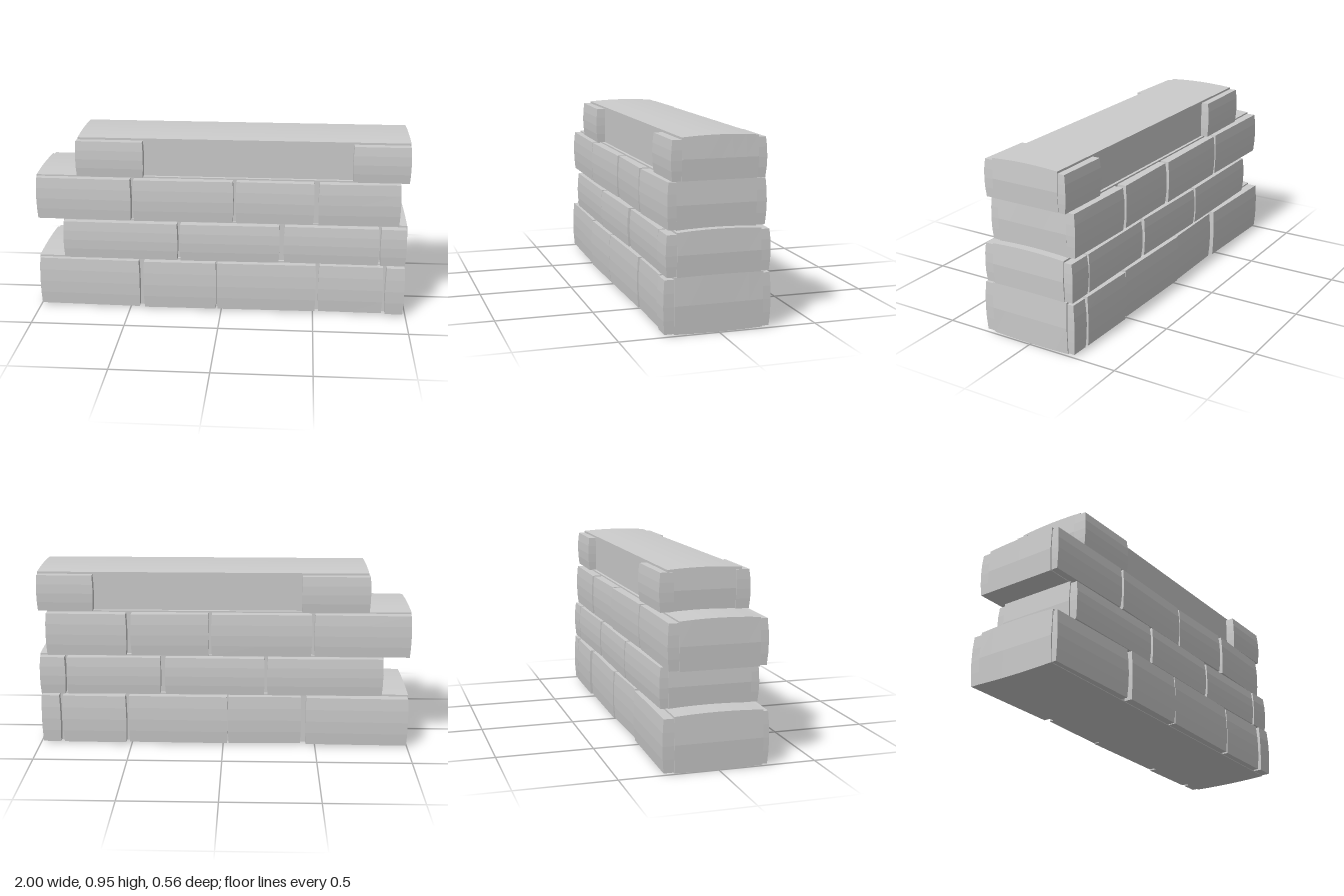
import * as THREE from 'three';

const stone = new THREE.MeshStandardMaterial({ color: 0xcccccc, flatShading: true });

// Each course: core extents, brick height range, and bricks as
// [x0, x1, front depth at x0, at x1, back depth at x0, at x1].
const courses = [
  { name: 'bottomCourse', x: [-1, 0.99], y: [0.005, 0.283], z: 0.225, brickY: [0.008, 0.274], bottomBulge: 0.005,
    bricks: [
      [-0.995, -0.45, 0.25, 0.263, 0.277, 0.266],
      [-0.42, -0.03, 0.27, 0.267, 0.255, 0.262],
      [-0.02, 0.51, 0.267, 0.262, 0.267, 0.26],
      [0.53, 0.87, 0.258, 0.263, 0.27, 0.264],
      [0.89, 0.985, 0.272, 0.272, 0.262, 0.26]] },
  { name: 'secondCourse', x: [-0.86, 0.99], y: [0.28, 0.498], z: 0.212, brickY: [0.284, 0.489], bottomBulge: 0,
    bricks: [
      [-0.855, -0.24, 0.25, 0.257, 0.25, 0.255],
      [-0.22, 0.31, 0.26, 0.255, 0.255, 0.25],
      [0.34, 0.84, 0.25, 0.257, 0.25, 0.255],
      [0.855, 0.985, 0.26, 0.26, 0.255, 0.255]] },
  { name: 'thirdCourse', x: [-1, 0.945], y: [0.498, 0.738], z: 0.202, brickY: [0.502, 0.73], bottomBulge: 0,
    bricks: [
      [-0.995, -0.49, 0.238, 0.248, 0.252, 0.245],
      [-0.47, 0.06, 0.25, 0.244, 0.245, 0.25],
      [0.08, 0.49, 0.24, 0.248, 0.243, 0.25],
      [0.52, 0.945, 0.25, 0.24, 0.252, 0.247]] },
  { name: 'topCourse', x: [-0.77, 0.99], y: [0.74, 0.945], z: 0.19, brickY: [0.74, 0.934], bottomBulge: 0,
    bricks: [
      [-0.775, -0.42, 0.228, 0.235, 0.227, 0.23],
      [0.695, 0.988, 0.235, 0.236, 0.23, 0.227]] },
];

// Core block with a crowned top, optional crowned underside and bulging ends
function makeCore({ x, y, z, bottomBulge }) {
  const geo = new THREE.BoxGeometry(2, 2, 2, 1, 2, 6);
  const p = geo.attributes.position;
  for (let i = 0; i < p.count; i++) {
    const u = p.getX(i), v = p.getY(i), w = p.getZ(i);
    const crown = 1 - w * w;
    const px = (u < 0 ? x[0] : x[1]) + u * 0.006 * (1 - v * v);
    const py = THREE.MathUtils.lerp(y[0], y[1], (v + 1) / 2)
      + (v > 0 ? 0.008 : v < 0 ? -bottomBulge : 0) * crown;
    p.setXYZ(i, px, py, w * z);
  }
  geo.computeVertexNormals();
  return new THREE.Mesh(geo, stone);
}

// Facing brick: slightly slanted outer face that swells at mid height
function makeBrick(x0, x1, d0, d1, y, inner, side) {
  const geo = new THREE.BoxGeometry(2, 2, 2, 2, 4, 1);
  const p = geo.attributes.position;
  for (let i = 0; i < p.count; i++) {
    const u = p.getX(i), v = p.getY(i), outer = p.getZ(i) * side > 0;
    const t = (u + 1) / 2, swell = 1 - v * v;
    const depth = outer ? THREE.MathUtils.lerp(d0, d1, t) + 0.007 * swell : inner;
    p.setXYZ(i,
      THREE.MathUtils.lerp(x0, x1, t) + u * 0.004 * swell,
      THREE.MathUtils.lerp(y[0], y[1], (v + 1) / 2),
      side * depth);
  }
  geo.computeVertexNormals();
  return new THREE.Mesh(geo, stone);
}

export function createModel() {
  const wall = new THREE.Group();
  wall.name = 'brickWall';
  for (const course of courses) {
    const group = new THREE.Group();
    group.name = course.name;
    const core = makeCore(course);
    core.name = 'core';
    group.add(core);
    course.bricks.forEach(([x0, x1, f0, f1, b0, b1], i) => {
      const front = makeBrick(x0, x1, f0, f1, course.brickY, course.z - 0.03, 1);
      front.name = `frontBrick${i + 1}`;
      const back = makeBrick(x0, x1, b0, b1, course.brickY, course.z - 0.03, -1);
      back.name = `backBrick${i + 1}`;
      group.add(front, back);
    });
    wall.add(group);
  }
  return wall;
}
